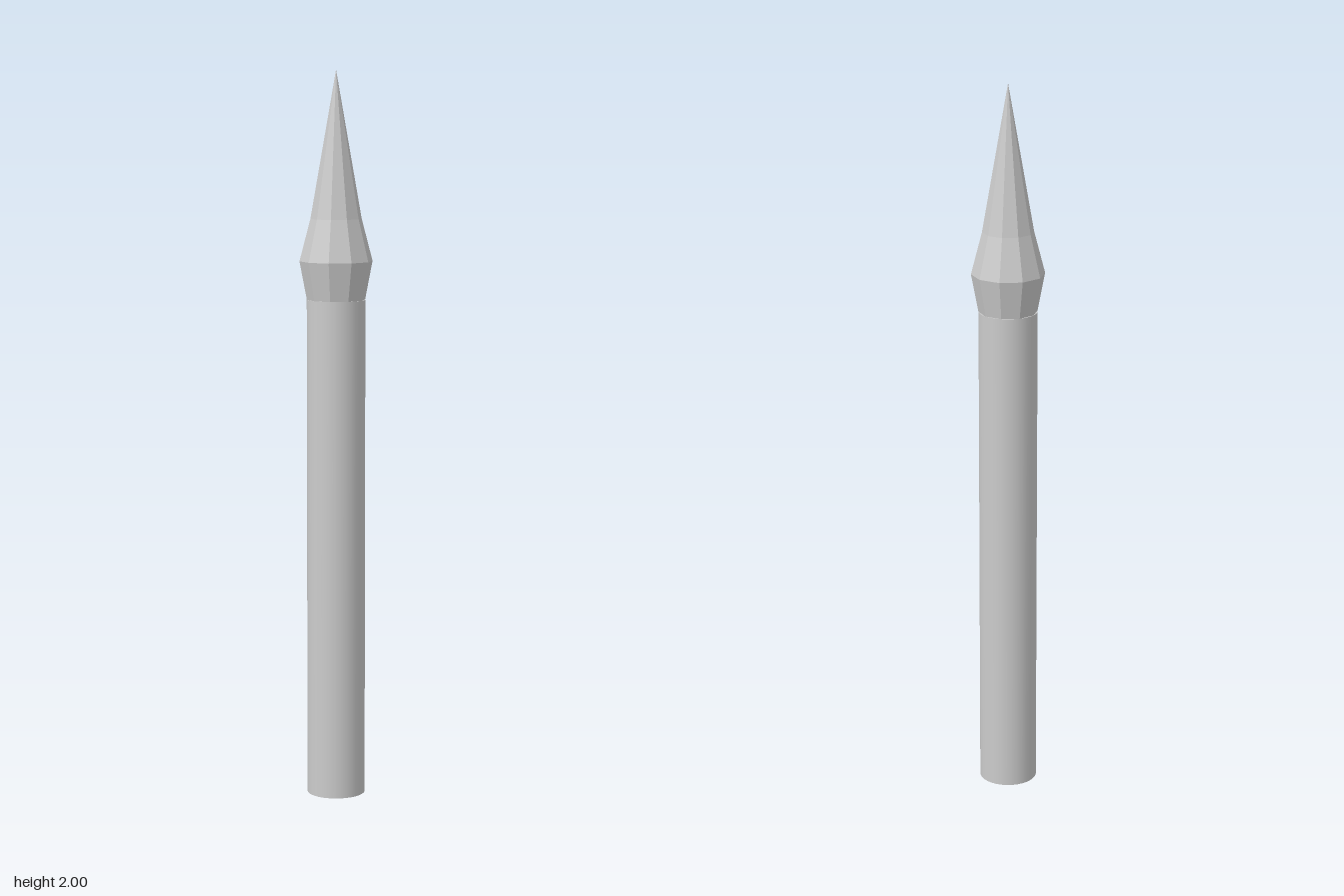
import * as THREE from 'three';

const SHAFT_RADIUS = 0.08;
const SHAFT_TOP = 1.38;

export function createModel() {
  const group = new THREE.Group();
  group.name = 'spikedPost';

  // Smooth round shaft, closed at both ends
  const shaft = new THREE.Mesh(
    new THREE.CylinderGeometry(SHAFT_RADIUS, SHAFT_RADIUS, SHAFT_TOP, 32),
    new THREE.MeshStandardMaterial({ color: 0xcccccc })
  );
  shaft.name = 'shaft';
  shaft.position.y = SHAFT_TOP / 2;
  group.add(shaft);

  // Faceted ten-sided head: flared collar, shoulder and long point
  const profile = [
    [0, SHAFT_TOP],
    [SHAFT_RADIUS, SHAFT_TOP],
    [0.1, 1.485],
    [0.07, 1.6],
    [0, 2],
  ].map(([r, y]) => new THREE.Vector2(r, y));
  const head = new THREE.Mesh(
    new THREE.LatheGeometry(profile, 10),
    new THREE.MeshStandardMaterial({ color: 0xcccccc, flatShading: true })
  );
  head.name = 'spearhead';
  group.add(head);

  return group;
}
